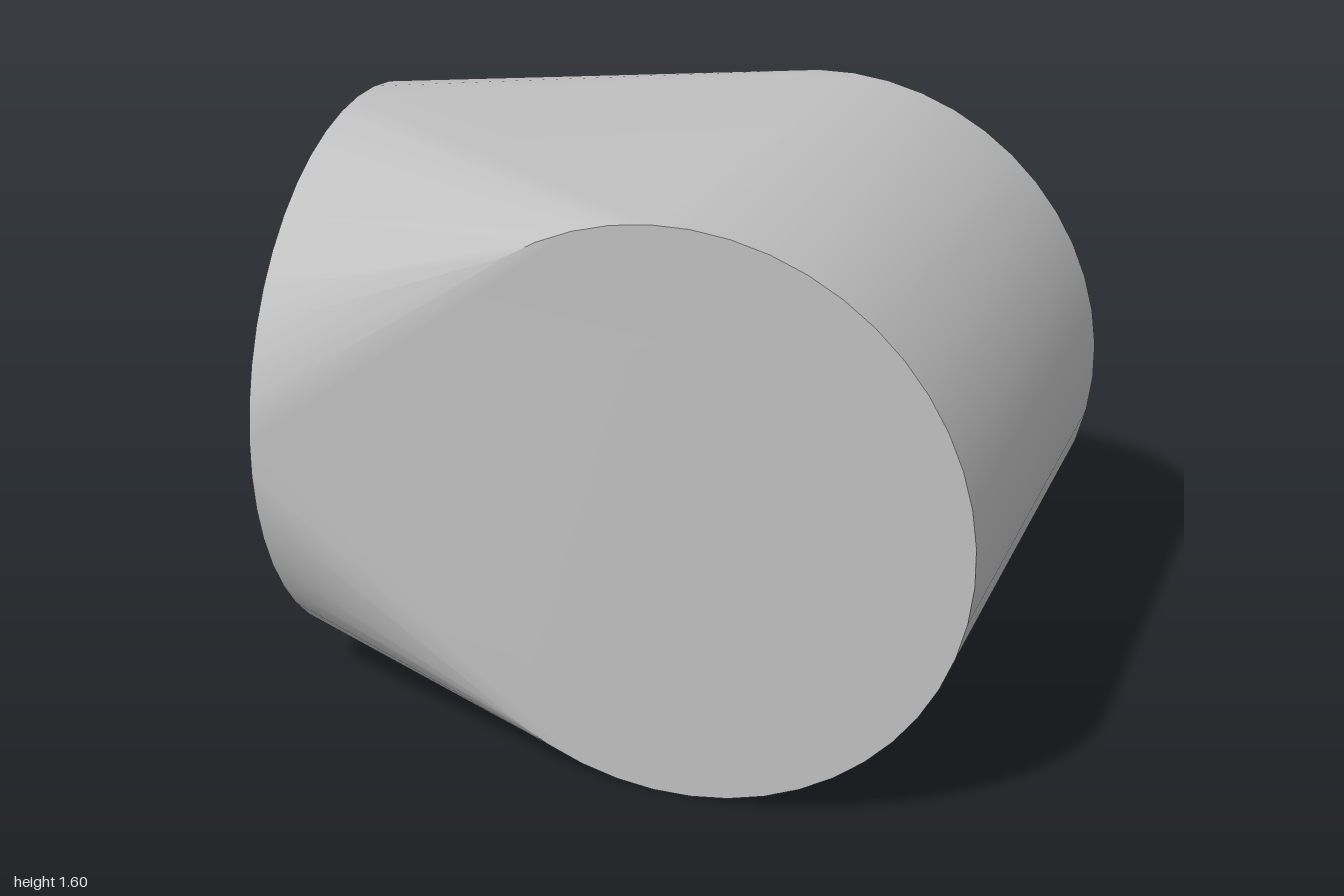
import * as THREE from 'three';
import { ConvexGeometry } from 'three/addons/geometries/ConvexGeometry.js';
import { toCreasedNormals } from 'three/addons/utils/BufferGeometryUtils.js';

const SIDES = 48;
const APOTHEM = 0.8;
const RADIUS = APOTHEM / Math.cos(Math.PI / SIDES);

// Points of a round rim, with a flat facet at each quarter; place(a, b) puts it in space
function rim(place) {
  const points = [];
  for (let i = 0; i < SIDES; i++) {
    const t = ((i + 0.5) / SIDES) * Math.PI * 2;
    points.push(place(RADIUS * Math.cos(t), RADIUS * Math.sin(t)));
  }
  return points;
}

export function createModel() {
  const group = new THREE.Group();
  group.name = 'roundedBlock';

  const grey = new THREE.MeshStandardMaterial({ color: 0xbfbfbf });
  grey.name = 'grey';

  // A short drum lying along x and a longer drum lying along z, wrapped in one taut skin
  const points = [];
  for (const x of [-1, -0.67]) {
    points.push(...rim((a, b) => new THREE.Vector3(x, 0.8 + b, a)));
  }
  for (const z of [-0.63, 0.8]) {
    points.push(...rim((a, b) => new THREE.Vector3(0.2 + a, 0.8 + b, z)));
  }

  // Smooth sides with sharp rims
  const skin = toCreasedNormals(new ConvexGeometry(points), THREE.MathUtils.degToRad(30));
  const body = new THREE.Mesh(skin, grey);
  body.name = 'body';
  group.add(body);

  return group;
}
